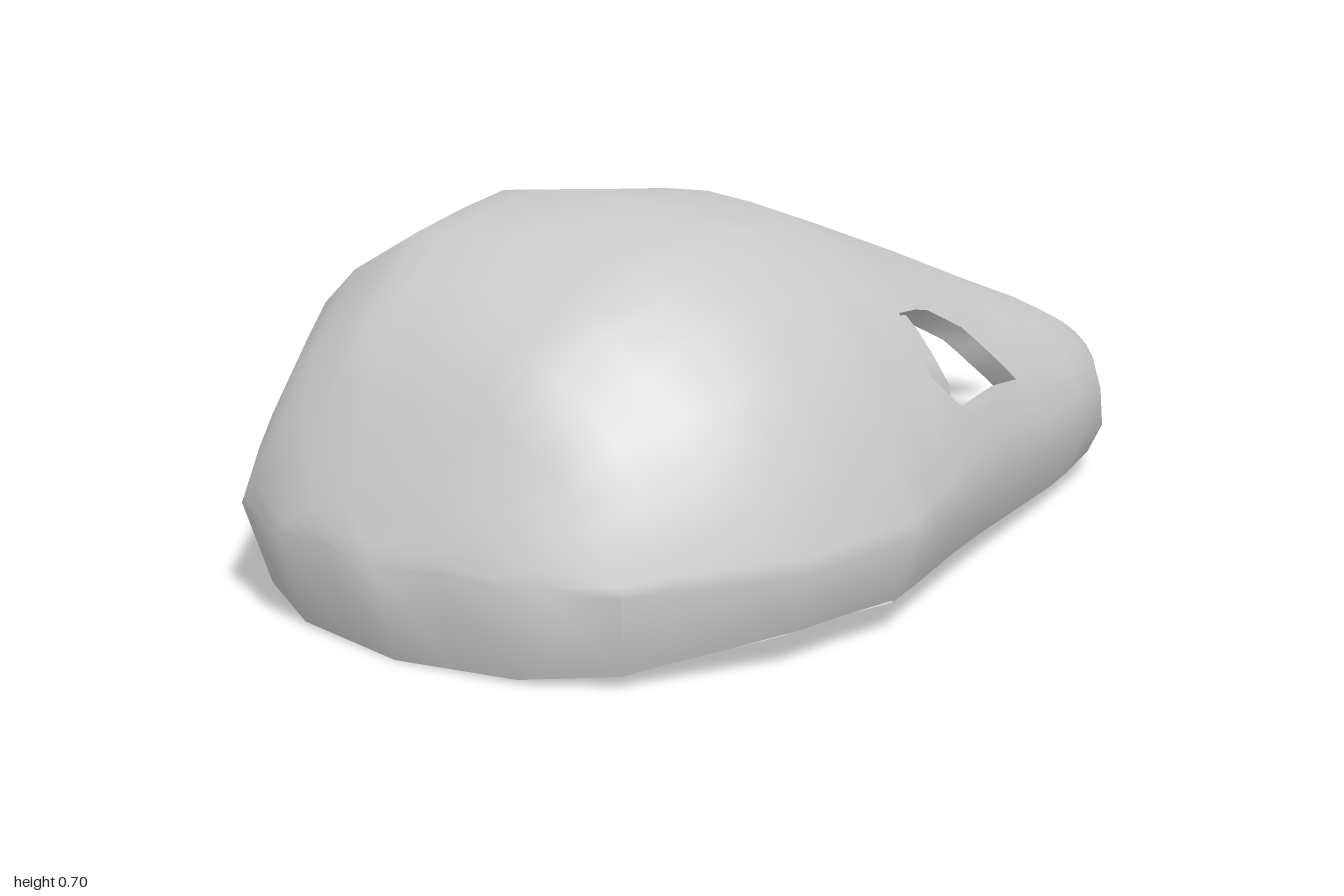
import * as THREE from 'three';
import { toCreasedNormals } from 'three/addons/utils/BufferGeometryUtils.js';

const { lerp, degToRad, clamp } = THREE.MathUtils;

// Piecewise linear curve through [x, value] points
const curve = (pts) => (x) => {
  let i = 1;
  while (i < pts.length - 1 && x > pts[i][0]) i++;
  const [a, b] = [pts[i - 1], pts[i]];
  return lerp(a[1], b[1], clamp((x - a[0]) / (b[0] - a[0]), 0, 1));
};

// Shape of the shell along its length (nose at +x)
const crown = curve([[-1, 0.18], [-0.93, 0.33], [-0.8, 0.55], [-0.58, 0.68], [-0.32, 0.705], [-0.05, 0.66], [0.31, 0.52], [0.82, 0.29], [1, 0.18]]);
const width = curve([[-1, 0], [-0.96, 0.26], [-0.87, 0.43], [-0.6, 0.615], [-0.34, 0.66], [0.67, 0.45], [1, 0.235]]);
const waist = curve([[-1, 0.18], [-0.34, 0.18], [0.3, 0.14], [0.67, 0.11], [1, 0.085]]);
const rimY = curve([[-1, 0], [-0.8, 0.035], [-0.55, 0.07], [-0.3, 0.055], [0, 0.06], [0.5, 0.035], [1, 0.075]]);
const rimShift = curve([[-1, 0.05], [-0.34, 0]]);
const thickness = curve([[-1, 0.01], [-0.6, 0.02], [-0.3, 0.05], [0.3, 0.05], [0.6, 0.025], [1, 0.012]]);
const barHalf = curve([[0.55, 0.08], [0.81, 0.05], [1, 0.045]]);
const notchSide = curve([[0.55, 0.24], [0.81, 0.235], [1, 0.22]]);
// Cross-section: faceted at the back, rounded at the eyes, squarer at the nose
const facet = curve([[0, 1], [0.394, 0.952], [0.727, 0.705], [0.924, 0.286], [1, 0]]);
const roundness = curve([[-0.33, 0], [0.1, 1]]);
const squareness = curve([[0.3, 2], [0.55, 2.4], [0.81, 3.2], [1, 3.5]]);
// Underside of the filled rear of the cavity
const fillHeight = curve([[-0.95, 0.015], [-0.6, 0.06], [-0.35, 0.08], [-0.2, 0.2], [-0.08, 0.53], [0, 0.75]]);

const HALF = Math.PI / 2;
const RIM = 2; // angle value used for the lower rim
const RIM_INSET = 0.93;

// Height of the outer skin at station x and width ratio r
function skinHeight(x, r) {
  const n = squareness(x), base = waist(x);
  const h = lerp(facet(r), Math.pow(1 - Math.pow(r, n), 1 / n), roundness(x));
  return base + (crown(x) - base) * h;
}

// Point on the outer surface: station x, angle a from the crown line
function surfacePoint([x, a]) {
  const w = width(x), side = Math.sign(a);
  if (Math.abs(a) > HALF + 0.01) return new THREE.Vector3(x + rimShift(x), rimY(x), side * w * RIM_INSET);
  const r = Math.min(1, Math.sin(Math.abs(a)));
  const back = x > 0.95 && Math.abs(a) > 0.5 ? 0.015 : 0;
  return new THREE.Vector3(x - back, skinHeight(x, r), side * w * r);
}

const stations = [-1, -0.98, -0.96, -0.93, -0.87, -0.8, -0.7, -0.59, -0.46, -0.33, -0.23, -0.15, -0.05, 0.1, 0.23, 0.36, 0.45, 0.55, 0.67, 0.81, 0.9, 1];
const K = 4, N = 10; // columns at the notch side and at the waist

// Columns follow the notch edges toward the nose
function columnAngle(x, j) {
  const k = Math.abs(j), s = Math.sign(j);
  if (k > N) return s * RIM;
  const xf = Math.max(x, 0.55), w = width(xf);
  const a1 = Math.asin(barHalf(xf) / w), aK = Math.asin(notchSide(xf) / w);
  if (k === 0) return 0;
  if (k <= K) return s * (a1 + (aK - a1) * (k - 1) / (K - 1));
  return s * (aK + (HALF - aK) * (k - K) / (N - K));
}

// Eye opening as [x, angle in degrees], one point per node of the patch outline
const eye = [
  [-0.08, 48], [0, 47.3], [0.06, 47], [0.16, 51],
  [0.19, 55], [0.21, 58], [0.23, 60.5], [0.25, 63],
  [0.27, 66], [0.2, 67.5], [0.1, 69.5], [0.02, 71],
  [-0.03, 67.5], [-0.06, 64], [-0.09, 60], [-0.085, 54],
];
const eyeCells = { i0: stations.indexOf(-0.15), i1: stations.indexOf(0.36), j0: K + 1, j1: N - 1 };

function buildShell() {
  const points = [], lookup = new Map(), faces = [];
  const vertex = (p) => {
    const v = surfacePoint(p), key = [v.x, v.y, v.z].map((c) => Math.round(c * 1e4)).join();
    if (!lookup.has(key)) { lookup.set(key, points.length); points.push(v); }
    return lookup.get(key);
  };
  // Adds a triangle or quad given in (x, angle), always facing outward
  const triangle = (a, b, c) => {
    const area = (b[0] - a[0]) * (c[1] - a[1]) - (b[1] - a[1]) * (c[0] - a[0]);
    const f = (area > 0 ? [a, c, b] : [a, b, c]).map(vertex);
    if (new Set(f).size === 3) faces.push(f);
  };
  const quad = (a, b, c, d) => { triangle(a, b, c); triangle(a, c, d); };
  const node = (i, j) => [stations[i], columnAngle(stations[i], j)];

  // Main skin, leaving out the eye patches and the two unequal nose notches
  for (let i = 0; i < stations.length - 1; i++) {
    for (let j = -N - 1; j <= N; j++) {
      const k = j >= 0 ? j : -j - 1;
      if (i >= eyeCells.i0 && i < eyeCells.i1 && k >= eyeCells.j0 && k < eyeCells.j1) continue;
      const notchStart = j >= 0 ? 0.81 : 0.55;
      if (stations[i] >= notchStart && k >= 1 && k < K) continue;
      quad(node(i, j), node(i, j + 1), node(i + 1, j + 1), node(i + 1, j));
    }
  }

  // Two rings of skin around each eye opening
  for (const s of [-1, 1]) {
    const { i0, i1, j0, j1 } = eyeCells, outline = [];
    for (let i = i0; i < i1; i++) outline.push(node(i, s * j0));
    for (let j = j0; j < j1; j++) outline.push(node(i1, s * j));
    for (let i = i1; i > i0; i--) outline.push(node(i, s * j1));
    for (let j = j1; j > j0; j--) outline.push(node(i0, s * j));
    const hole = eye.map(([x, deg]) => [x, s * degToRad(deg)]);
    const middle = hole.map((p, i) => [(p[0] + outline[i][0]) / 2, (p[1] + outline[i][1]) / 2]);
    for (const [far, near] of [[outline, middle], [middle, hole]])
      far.forEach((p, i) => {
        const n = (i + 1) % far.length;
        quad(p, far[n], near[n], near[i]);
      });
  }

  // Inner skin: offset along the averaged normals
  const outer = new THREE.BufferGeometry().setFromPoints(points);
  outer.setIndex(faces.flat());
  outer.computeVertexNormals();
  const normal = new THREE.Vector3();
  const inner = points.map((p, i) => {
    normal.fromBufferAttribute(outer.attributes.normal, i);
    return p.clone().addScaledVector(normal.setY(normal.y * 0.7), -thickness(p.x));
  });
  const M = points.length;
  const index = faces.flatMap(([a, b, c]) => [a, b, c, a + M, c + M, b + M]);

  // Walls along every open edge: rim, eyes and notches
  const edges = new Set();
  for (const f of faces) f.forEach((a, i) => edges.add(a + '_' + f[(i + 1) % 3]));
  for (const e of edges) {
    const [a, b] = e.split('_').map(Number);
    if (!edges.has(b + '_' + a)) index.push(b, a, a + M, b, a + M, b + M);
  }
  const shell = new THREE.BufferGeometry().setFromPoints([...points, ...inner]);
  shell.setIndex(index);
  return toCreasedNormals(shell, 0.8);
}

// Underside that closes the rear and rises in a rounded hump behind the eyes
function buildFill() {
  const rows = 36, cols = 32;
  const geometry = new THREE.PlaneGeometry(1, 1, cols, rows);
  const position = geometry.attributes.position;
  for (let i = 0; i <= rows; i++) {
    const x = lerp(-1, -0.01, i / rows);
    for (let j = 0; j <= cols; j++) {
      const v = (j / cols) * 2 - 1, r = Math.abs(v) * RIM_INSET;
      const xr = x + rimShift(x);
      const bottom = lerp(fillHeight(xr + 0.12 * r * r), rimY(x), Math.pow(Math.abs(v), 16));
      const y = Math.min(bottom, skinHeight(x, r) - 0.025);
      position.setXYZ(i * (cols + 1) + j, xr, Math.max(y, 0), v * RIM_INSET * width(x));
    }
  }
  geometry.computeVertexNormals();
  return geometry;
}

export function createModel() {
  const group = new THREE.Group();
  group.name = 'mask';
  const material = new THREE.MeshStandardMaterial({ color: 0xcccccc, side: THREE.DoubleSide });
  const shell = new THREE.Mesh(buildShell(), material);
  shell.name = 'maskShell';
  const fill = new THREE.Mesh(buildFill(), material);
  fill.name = 'rearUnderside';
  group.add(shell, fill);
  return group;
}
